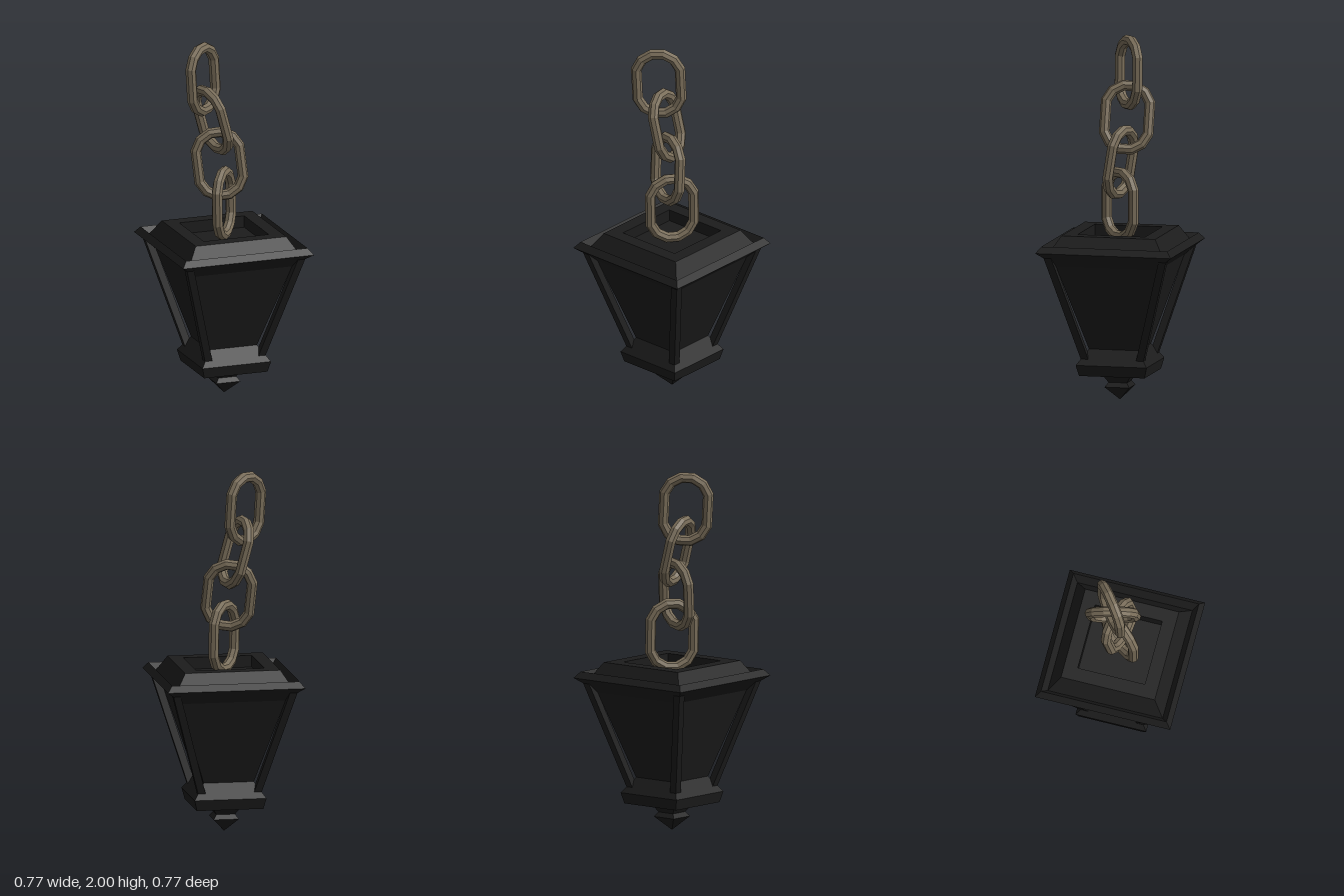
import * as THREE from 'three';

const iron = new THREE.MeshStandardMaterial({ color: 0x1c1c1c, flatShading: true });
const brass = new THREE.MeshStandardMaterial({ color: 0x7a6e5a, flatShading: true });

function mesh(name, geometry, material) {
  const m = new THREE.Mesh(geometry, material);
  m.name = name;
  return m;
}

// Square solid from a profile of [half width, height], listed bottom to top
function squareLathe(profile) {
  const pts = profile.map(([w, y]) => new THREE.Vector2(w * Math.SQRT2, y));
  return new THREE.LatheGeometry(pts, 4, Math.PI / 4);
}

// Leaning corner post: a box whose corners follow the taper of the body
function postGeometry() {
  const g = new THREE.BoxGeometry(1, 1, 1);
  const p = g.attributes.position;
  for (let i = 0; i < p.count; i++) {
    const top = p.getY(i) > 0;
    const outer = top ? 0.348 : 0.172;
    const inner = outer - 0.042;
    p.setXYZ(i, p.getX(i) > 0 ? outer : inner, top ? 0.83 : 0.225, p.getZ(i) > 0 ? outer : inner);
  }
  return g;
}

// Chain link: a torus pulled apart along y so that its sides become straight
function linkGeometry() {
  const g = new THREE.TorusGeometry(0.124, 0.03, 8, 12);
  g.rotateZ(Math.PI / 12);
  const p = g.attributes.position;
  for (let i = 0; i < p.count; i++) p.setY(i, p.getY(i) + Math.sign(p.getY(i)) * 0.055);
  return g;
}

export function createModel() {
  const model = new THREE.Group();
  model.name = 'hangingLantern';

  // Finial under the lantern
  model.add(mesh('finial', squareLathe([
    [0, 0], [0.07, 0.075], [0.052, 0.1], [0.085, 0.152],
  ]), iron));

  // Collar, recessed panels, rim with groove, raised top with a sunken floor
  model.add(mesh('body', squareLathe([
    [0, 0.15], [0.185, 0.15], [0.2, 0.21], [0.14, 0.295],
    [0.29, 0.77], [0.345, 0.82], [0.383, 0.85], [0.355, 0.885],
    [0.325, 0.84], [0.265, 0.935], [0.19, 0.935], [0.19, 0.87], [0, 0.87],
  ]), iron));

  // Four corner posts
  const postGeo = postGeometry();
  for (let i = 0; i < 4; i++) {
    const post = mesh('cornerPost', postGeo, iron);
    post.rotation.y = i * Math.PI / 2;
    model.add(post);
  }

  // Chain: centre, long axis and sideways direction of each link
  const chain = new THREE.Group();
  chain.name = 'chain';
  const linkGeo = linkGeometry();
  const links = [
    [[0, 1.08, 0], [-0.02, 1, 0], [0.62, 0, -0.78]],
    [[-0.028, 1.31, 0.003], [-0.08, 1, -0.14], [0.95, 0, 0.27]],
    [[-0.06, 1.555, -0.025], [-0.27, 1, 0], [0.25, 0, 1]],
    [[-0.115, 1.795, -0.02], [-0.06, 1, 0], [0.79, 0, -0.61]],
  ];
  for (const [centre, along, side] of links) {
    const y = new THREE.Vector3(...along).normalize();
    const z = new THREE.Vector3(...side).cross(y).normalize();
    const x = new THREE.Vector3().crossVectors(y, z);
    const link = mesh('chainLink', linkGeo, brass);
    link.quaternion.setFromRotationMatrix(new THREE.Matrix4().makeBasis(x, y, z));
    link.position.set(...centre);
    chain.add(link);
  }
  model.add(chain);
  return model;
}
